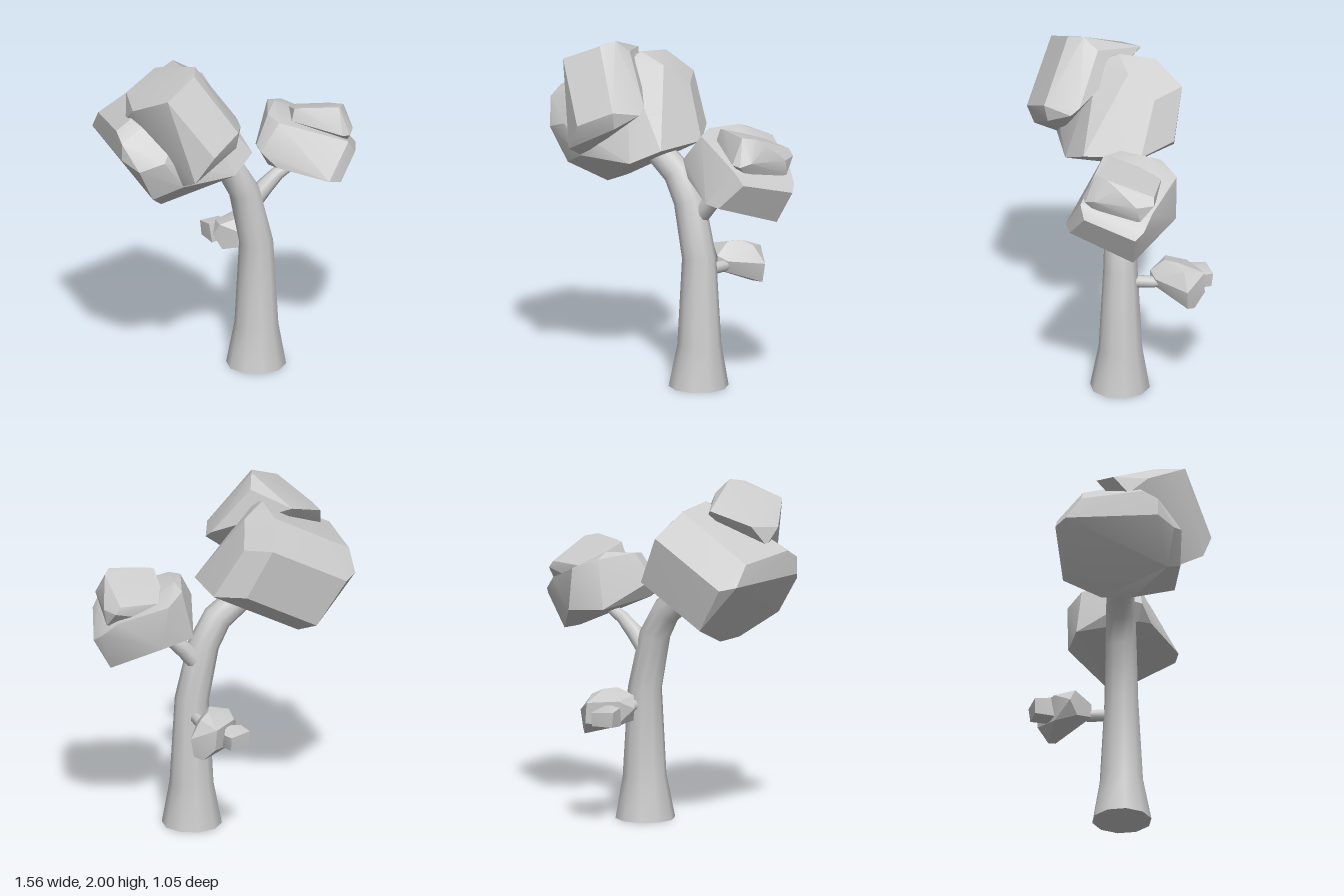
import * as THREE from 'three';
import { ConvexGeometry } from 'three/addons/geometries/ConvexGeometry.js';
import { toCreasedNormals } from 'three/addons/utils/BufferGeometryUtils.js';

const bark = new THREE.MeshStandardMaterial({ color: 0xcccccc });
const leaf = new THREE.MeshStandardMaterial({ color: 0xcccccc });

// Faceted limb swept through stations of [x, y, z, radius], capped at both ends
function limb(name, stations, sides) {
  const centers = stations.map(([x, y, z]) => new THREE.Vector3(x, y, z));
  const up = new THREE.Vector3(0, 1, 0);
  const positions = [], index = [];
  stations.forEach(([, , , r], i) => {
    const dir = centers[Math.min(i + 1, centers.length - 1)].clone()
      .sub(centers[Math.max(i - 1, 0)]).normalize();
    if (i === 0 && name === 'trunk') dir.copy(up);
    const turn = new THREE.Quaternion().setFromUnitVectors(up, dir);
    for (let k = 0; k < sides; k++) {
      const a = ((k + 0.25) / sides) * Math.PI * 2;
      const p = new THREE.Vector3(Math.cos(a) * r, 0, -Math.sin(a) * r);
      positions.push(...p.applyQuaternion(turn).add(centers[i]).toArray());
    }
  });
  const last = (stations.length - 1) * sides;
  for (let i = 0; i < stations.length - 1; i++) {
    for (let k = 0; k < sides; k++) {
      const a = i * sides + k, b = i * sides + (k + 1) % sides;
      index.push(a, b, b + sides, a, b + sides, a + sides);
    }
  }
  for (let k = 1; k < sides - 1; k++) {
    index.push(0, k + 1, k, last, last + k, last + k + 1);
  }
  const geometry = new THREE.BufferGeometry();
  geometry.setAttribute('position', new THREE.Float32BufferAttribute(positions, 3));
  geometry.setIndex(index);
  const mesh = new THREE.Mesh(toCreasedNormals(geometry, 1.1), bark);
  mesh.name = name;
  return mesh;
}

// Chunky foliage block: convex hull around a few corner points
function clump(name, corners) {
  const hull = new ConvexGeometry(corners.map((c) => new THREE.Vector3(...c)));
  const mesh = new THREE.Mesh(toCreasedNormals(hull, 0.45), leaf);
  mesh.name = name;
  return mesh;
}

export function createModel() {
  const tree = new THREE.Group();
  tree.name = 'tree';

  // Flared trunk leaning to the right at the top
  tree.add(limb('trunk', [
    [0.137, 0, 0.003, 0.172], [0.14, 0.25, 0, 0.126], [0.138, 0.76, 0, 0.098],
    [0.065, 1.08, 0, 0.09], [-0.02, 1.23, 0, 0.085], [-0.15, 1.325, 0, 0.08],
    [-0.24, 1.38, 0, 0.07],
  ], 10));

  // Side branches
  tree.add(limb('leftBranch', [
    [0.11, 0.98, -0.02, 0.055], [0.2, 1.08, -0.02, 0.05],
    [0.28, 1.15, -0.02, 0.04], [0.38, 1.2, -0.02, 0.03],
  ], 8));
  tree.add(limb('backBranch', [
    [0.145, 0.67, -0.04, 0.036], [0.155, 0.67, -0.19, 0.034], [0.155, 0.68, -0.27, 0.03],
  ], 8));

  // Large crown on the trunk
  tree.add(clump('crownMain', [
    [-0.29, 1.87, -0.21], [-0.75, 1.62, -0.21], [-0.3, 1.9, 0], [-0.3, 1.85, 0.12],
    [-0.21, 1.73, -0.36], [-0.67, 1.48, -0.36], [-0.75, 1.5, -0.3],
    [-0.5, 1.22, -0.32], [-0.07, 1.45, -0.31],
    [-0.78, 1.65, 0.14], [-0.71, 1.69, 0.13], [-0.78, 1.5, 0.23], [-0.78, 1.6, 0.23],
    [-0.71, 1.45, 0.32], [-0.61, 1.25, 0.28], [-0.57, 1.5, 0.36], [-0.45, 1.33, 0.35],
    [-0.48, 1.12, -0.1], [-0.48, 1.12, 0.08],
    [0.055, 1.41, -0.12], [0.03, 1.41, 0.21], [-0.12, 1.33, 0.31],
    [-0.17, 1.83, -0.05], [-0.1, 1.7, -0.2],
  ]));
  tree.add(clump('crownFront', [
    [-0.32, 2, 0.2], [-0.36, 1.98, 0.29], [-0.43, 1.88, -0.13], [-0.28, 1.93, 0.12],
    [-0.56, 1.89, 0.38], [-0.65, 1.8, -0.03], [-0.69, 1.77, 0.17], [-0.69, 1.68, 0.06],
    [-0.33, 1.56, 0.525], [-0.43, 1.4, 0.48], [-0.46, 1.32, 0.32],
    [-0.145, 1.65, 0.43], [-0.15, 1.55, 0.41], [-0.07, 1.62, 0.28], [-0.08, 1.66, 0.23],
  ]));

  // Crown on the left branch
  tree.add(clump('leftCrownMain', [
    [0.21, 1.535, 0], [0.31, 1.55, -0.14], [0.3, 1.52, -0.23], [0.42, 1.47, -0.315],
    [0.24, 1.24, -0.26], [0.45, 1.22, -0.31], [0.67, 1.36, -0.17], [0.75, 1.28, -0.12],
    [0.78, 1.24, -0.07], [0.67, 1.05, -0.06], [0.59, 1.07, -0.02],
    [0.12, 1.38, 0.05], [0.12, 1.36, 0.12], [0.17, 1.27, 0.1], [0.2, 1.27, 0.17],
    [0.24, 1.515, 0.1], [0.46, 1.2, 0.32], [0.54, 1.18, 0.3],
    [0.61, 1.395, 0.24], [0.66, 1.32, 0.22],
  ]));
  tree.add(clump('leftCrownTop', [
    [0.35, 1.57, 0.06], [0.4, 1.575, 0.08], [0.59, 1.575, 0.15], [0.64, 1.565, 0.09],
    [0.67, 1.52, 0.03], [0.66, 1.46, -0.18], [0.4, 1.47, -0.235],
    [0.33, 1.5, 0.07], [0.58, 1.43, 0.225], [0.63, 1.42, 0.215], [0.67, 1.44, 0.16],
    [0.72, 1.42, -0.08], [0.71, 1.33, -0.1], [0.69, 1.42, -0.18],
    [0.62, 1.3, 0.1], [0.4, 1.4, 0], [0.42, 1.36, -0.21],
  ]));

  // Small tuft on the back branch
  tree.add(clump('backTuftMain', [
    [0.02, 0.77, -0.26], [-0.01, 0.7, -0.29], [0.03, 0.62, -0.25],
    [0.13, 0.65, -0.17], [0.13, 0.73, -0.17], [0.19, 0.7, -0.2],
    [0.14, 0.8, -0.25], [0.18, 0.8, -0.33], [0.24, 0.77, -0.36],
    [0.31, 0.67, -0.38], [0.29, 0.56, -0.38], [0.25, 0.545, -0.42], [0.24, 0.57, -0.34],
    [0.19, 0.74, -0.48], [0.2, 0.62, -0.48], [0.06, 0.6, -0.38], [0.04, 0.75, -0.38],
  ]));
  tree.add(clump('backTuftSmall', [
    [-0.01, 0.71, -0.49], [0, 0.62, -0.49], [0.12, 0.7, -0.53], [0.12, 0.62, -0.52],
    [0.14, 0.7, -0.47], [0.13, 0.61, -0.42], [0.01, 0.72, -0.4], [0.02, 0.61, -0.38],
    [0.1, 0.73, -0.4],
  ]));

  return tree;
}
